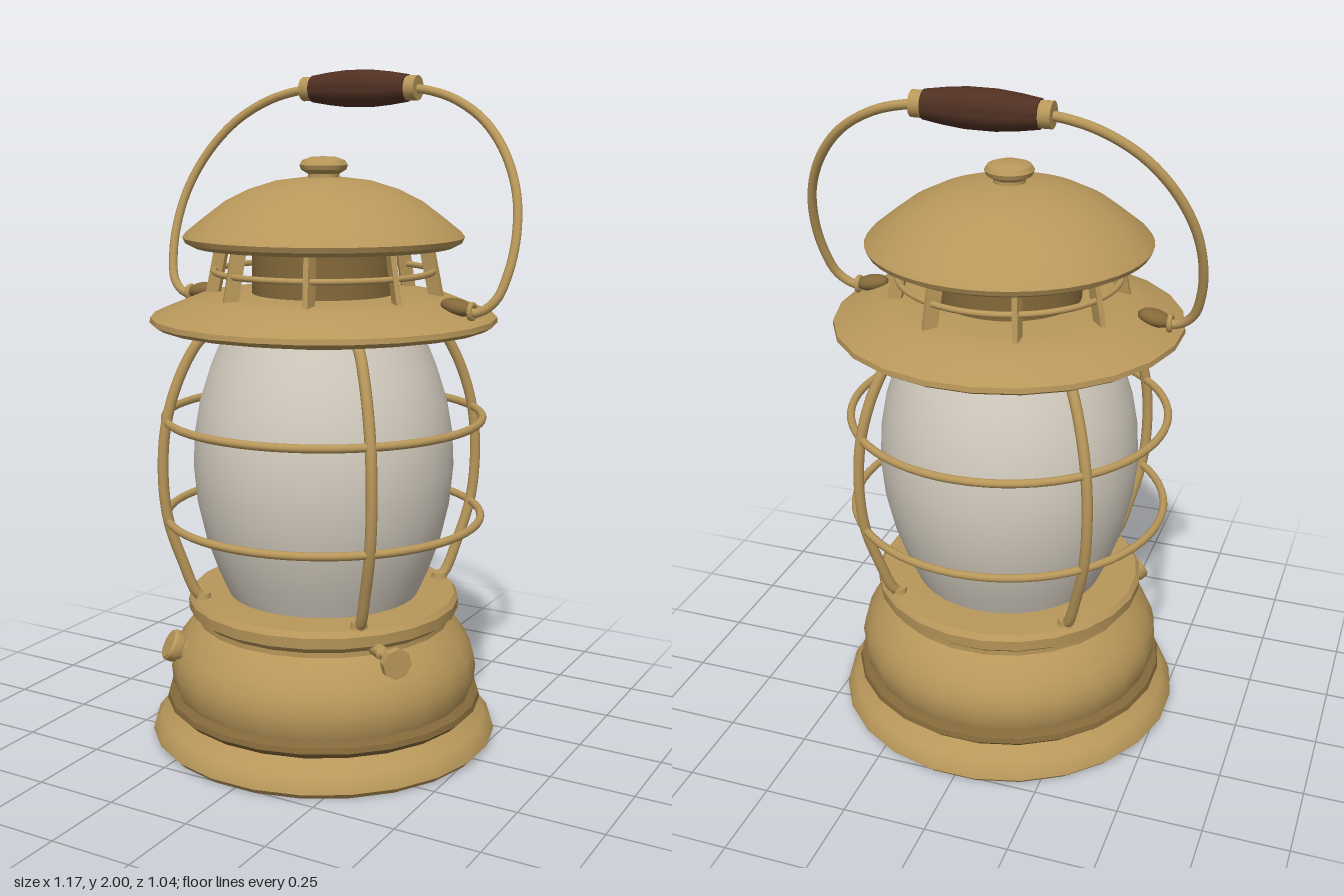
import * as THREE from 'three';
import { toCreasedNormals } from 'three/addons/utils/BufferGeometryUtils.js';

const brass = new THREE.MeshStandardMaterial({ name: 'brass', color: 0xb8975a });
const darkBrass = new THREE.MeshStandardMaterial({ name: 'dark brass', color: 0x84693a });
const wood = new THREE.MeshStandardMaterial({ name: 'dark wood', color: 0x4f3022 });
const glass = new THREE.MeshStandardMaterial({ name: 'frosted glass', color: 0xd3ccbf });

const V = (x, y, z = 0) => new THREE.Vector3(x, y, z);

export function createModel() {
  const model = new THREE.Group();
  model.name = 'lantern';

  const add = (name, geometry, material, parent = model) => {
    const mesh = new THREE.Mesh(geometry, material);
    mesh.name = name;
    parent.add(mesh);
    return mesh;
  };

  // Turned part from [radius, height] pairs listed from bottom to top
  const turned = (name, profile, material, sides = 48, parent = model, crease = 0.6) => {
    const points = profile.map(([r, y]) => new THREE.Vector2(r, y));
    const geometry = new THREE.LatheGeometry(points, sides, Math.PI / sides);
    return add(name, toCreasedNormals(geometry, crease), material, parent);
  };

  const tube = (name, points, radius, parent = model, segments = 32) =>
    add(name, new THREE.TubeGeometry(new THREE.CatmullRomCurve3(points), segments, radius, 10), brass, parent);

  const hoop = (name, radius, thickness, y) => {
    const mesh = add(name, new THREE.TorusGeometry(radius, thickness, 10, 64), brass);
    mesh.rotation.x = Math.PI / 2;
    mesh.position.y = y;
  };

  // Group whose y axis points along a direction
  const aimed = (name, position, direction) => {
    const group = new THREE.Group();
    group.name = name;
    group.position.copy(position);
    group.quaternion.setFromUnitVectors(V(0, 1, 0), direction.normalize());
    model.add(group);
    return group;
  };

  // Base: foot, dark band and fuel tank
  turned('foot', [[0, 0], [0.51, 0], [0.527, 0.018], [0.52, 0.04], [0.5, 0.065],
    [0.465, 0.088], [0.455, 0.1], [0.3, 0.1]], brass, 24);
  turned('baseBand', [[0.4, 0.095], [0.46, 0.097], [0.482, 0.118], [0.478, 0.134], [0.45, 0.145],
    [0.4, 0.145]], darkBrass, 24);
  turned('tank', [[0.42, 0.138], [0.45, 0.14], [0.463, 0.17], [0.468, 0.22], [0.46, 0.26], [0.44, 0.3],
    [0.41, 0.34], [0.385, 0.365], [0.385, 0.38], [0.41, 0.4], [0.412, 0.432], [0.4, 0.448],
    [0.3, 0.45], [0, 0.45]], brass, 24);

  // Globe
  turned('globe', [[0.285, 0.44], [0.32, 0.52], [0.355, 0.62], [0.38, 0.73], [0.39, 0.84], [0.385, 0.94],
    [0.367, 1.04], [0.335, 1.14], [0.29, 1.25]], glass, 48, model, 1);

  // Guard cage: four bowed ribs and two hoops
  for (let i = 0; i < 4; i++) {
    const a = Math.PI / 4 + i * Math.PI / 2;
    const rib = [[0.36, 0.44], [0.39, 0.46], [0.435, 0.57], [0.475, 0.7], [0.487, 0.85], [0.472, 1.0],
      [0.425, 1.14], [0.37, 1.23], [0.34, 1.25]];
    tube('cageRib', rib.map(([r, y]) => V(r * Math.sin(a), y, r * Math.cos(a))), 0.016);
    const pad = add('ribFoot', new THREE.CylinderGeometry(0.022, 0.026, 0.025, 12), brass);
    pad.position.set(0.375 * Math.sin(a), 0.452, 0.375 * Math.cos(a));
  }
  hoop('lowerHoop', 0.473, 0.012, 0.69);
  hoop('upperHoop', 0.473, 0.012, 0.99);

  // Brim, chimney neck, hood and finial
  turned('brim', [[0, 1.24], [0.36, 1.24], [0.49, 1.262], [0.511, 1.275], [0.509, 1.29], [0.47, 1.308],
    [0.42, 1.328], [0.37, 1.348], [0.3, 1.355], [0, 1.355]], brass, 24);
  turned('neck', [[0.21, 1.34], [0.21, 1.51]], darkBrass);
  turned('hood', [[0, 1.495], [0.38, 1.492], [0.405, 1.505], [0.412, 1.52], [0.4, 1.535], [0.35, 1.575],
    [0.29, 1.62], [0.22, 1.655], [0.14, 1.68], [0.06, 1.69], [0, 1.69]], brass);
  turned('finial', [[0.06, 1.68], [0.046, 1.69], [0.046, 1.7], [0.066, 1.712], [0.071, 1.725],
    [0.062, 1.739], [0.035, 1.748], [0, 1.75]], brass, 24);

  // Vent fins, leaning in toward the top, tied by a hoop
  for (let i = 0; i < 8; i++) {
    const a = Math.PI / 8 + i * Math.PI / 4;
    const post = new THREE.Group();
    post.name = 'ventPost';
    post.position.set(0.315 * Math.sin(a), 1.425, 0.315 * Math.cos(a));
    post.rotation.y = a;
    model.add(post);
    const lean = new THREE.Group();
    lean.name = 'ventLean';
    lean.rotation.x = -0.2;
    post.add(lean);
    const fin = add('ventFin', new THREE.BoxGeometry(0.016, 0.165, 0.042), brass, lean);
    fin.rotation.y = -Math.PI / 8;
  }
  hoop('ventHoop', 0.322, 0.009, 1.42);

  // Filler cap at the front left of the tank
  const cap = aimed('fillerCap', V(-0.31, 0.29, 0.31), V(-0.62, 0.48, 0.62));
  turned('capBody', [[0.032, -0.04], [0.032, 0.012], [0.045, 0.015], [0.048, 0.022], [0.048, 0.042],
    [0.042, 0.05], [0, 0.052]], brass, 20, cap);

  // Wick valve: stem and faceted wheel
  const valve = aimed('wickValve', V(0.28, 0.385, 0.22), V(0.79, 0.02, 0.61));
  turned('valveStem', [[0.02, 0], [0.02, 0.08], [0.013, 0.085], [0.013, 0.16]], brass, 12, valve);
  const wheel = add('valveWheel', new THREE.CylinderGeometry(0.044, 0.044, 0.024, 8).toNonIndexed(), brass, valve);
  wheel.geometry.computeVertexNormals();
  wheel.position.y = 0.165;

  // Tilted bail handle with a turned grip
  const pivot = 1.33, top = 1.945, lean = 0.22 / (top - pivot);
  const bail = [[0.43, 1.335], [0.49, 1.325], [0.54, 1.36], [0.566, 1.44], [0.572, 1.54], [0.553, 1.65],
    [0.5, 1.76], [0.42, 1.85], [0.32, 1.91], [0.23, 1.937], [0.16, top]];
  for (const s of [1, -1]) {
    tube('bail', bail.map(([x, y]) => V(s * x, y, -(y - pivot) * lean)), 0.0135, model, 48);
    const lug = add('bailLug', new THREE.SphereGeometry(1, 16, 10), darkBrass);
    lug.scale.set(0.05, 0.024, 0.034);
    lug.position.set(s * 0.43, 1.338, 0);
    lug.rotation.z = -s * 0.2;
    const ring = add('bailEye', new THREE.TorusGeometry(0.02, 0.008, 8, 16), brass);
    ring.position.set(s * 0.475, 1.328, 0);
    ring.rotation.y = Math.PI / 2;
  }
  const grip = new THREE.Group();
  grip.name = 'grip';
  grip.rotation.z = Math.PI / 2;
  grip.position.set(0, top, -0.22);
  model.add(grip);
  turned('gripWood', [[0, -0.16], [0.04, -0.16], [0.049, -0.1], [0.055, -0.04], [0.055, 0.04], [0.049, 0.1],
    [0.04, 0.16], [0, 0.16]], wood, 24, grip);
  for (const s of [1, -1]) {
    const ferrule = add('ferrule', new THREE.CylinderGeometry(0.036, 0.036, 0.036, 24), brass, grip);
    ferrule.position.y = s * 0.176;
  }

  return model;
}
